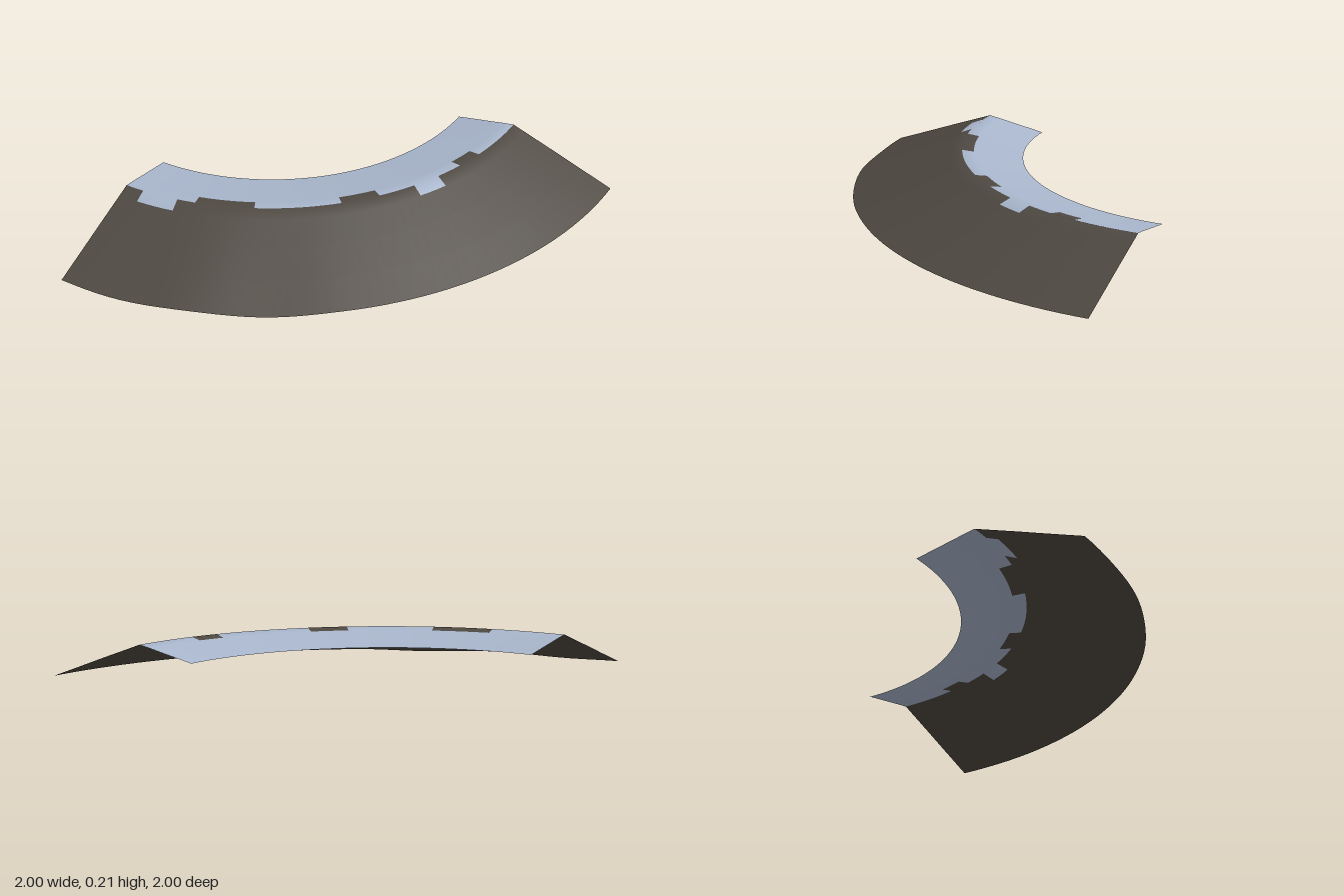
import * as THREE from 'three';

// Cross-section from the inner edge over the ridge to the outer foot: [radius, height]
const PROFILE = [
  [1.12, 0.16], [1.2, 0.175], [1.3, 0.193], [1.375, 0.207],
  [1.436, 0.217], [1.498, 0.194], [1.65, 0.139], [1.82, 0.076], [2.0, 0.01],
];
const RIDGE = 4;

// Stepped colour border: [end angle in degrees, profile ring where the inner colour stops]
const STEPS = [
  [3.9, 4], [11.4, 5], [15.1, 4], [26.9, 3], [44.1, 4], [51.9, 3],
  [59.6, 4], [65.4, 5], [71.2, 4], [76.8, 3], [90, 4],
];

// Gentle unevenness of the outer foot, dying out along the bend
function footWave(deg) {
  if (deg > 41) return 0.002;
  return -0.003 - 0.005 * Math.cos(((deg - 8.6) / 21.4) * Math.PI * 2);
}

export function createModel() {
  const group = new THREE.Group();
  group.name = 'curvedEmbankment';

  const slate = new THREE.MeshStandardMaterial({ color: 0xa9b6cc, side: THREE.DoubleSide });
  slate.name = 'paleSlateBlue';
  const earth = new THREE.MeshStandardMaterial({ color: 0x4f4942, side: THREE.DoubleSide });
  earth.name = 'darkEarth';

  // Columns around the quarter turn, with one on every step of the border
  const angles = [0];
  const borders = [];
  let start = 0;
  for (const [end, ring] of STEPS) {
    const n = Math.ceil((end - start) / 2);
    for (let i = 1; i <= n; i++) {
      angles.push(start + ((end - start) * i) / n);
      borders.push(ring);
    }
    start = end;
  }

  // Sweep the cross-section about the corner at x = -1, z = -1
  const rings = PROFILE.length;
  const positions = [];
  for (const deg of angles) {
    const a = THREE.MathUtils.degToRad(deg);
    PROFILE.forEach(([r, y], k) => {
      const outward = Math.max(0, (k - RIDGE) / (rings - 1 - RIDGE));
      positions.push(-1 + r * Math.sin(a), y + footWave(deg) * outward, -1 + r * Math.cos(a));
    });
  }

  // Each cell belongs to the inner band or to the outer slope
  const inner = [];
  const outer = [];
  borders.forEach((border, c) => {
    for (let k = 0; k < rings - 1; k++) {
      const p = c * rings + k;
      const q = p + rings;
      (k < border ? inner : outer).push(p, p + 1, q, p + 1, q + 1, q);
    }
  });

  // Smooth normals are taken over the whole surface, then shared by both parts
  const surface = new THREE.BufferGeometry();
  surface.setAttribute('position', new THREE.Float32BufferAttribute(positions, 3));
  surface.setIndex([...inner, ...outer]);
  surface.computeVertexNormals();

  const addPart = (name, index, material) => {
    const geometry = surface.clone();
    geometry.setIndex(index);
    const mesh = new THREE.Mesh(geometry, material);
    mesh.name = name;
    group.add(mesh);
  };
  addPart('innerBand', inner, slate);
  addPart('outerSlope', outer, earth);

  return group;
}
